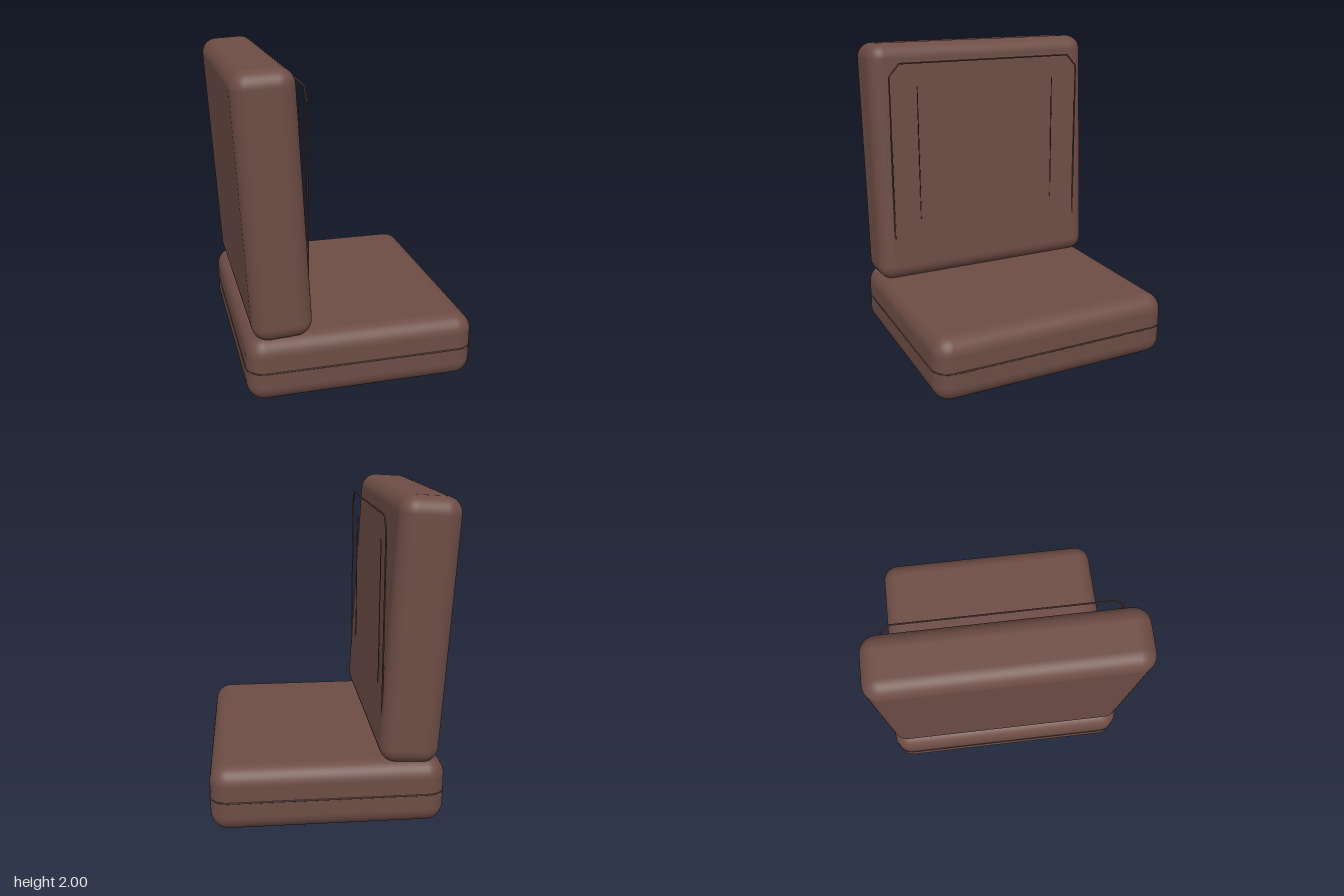
import * as THREE from 'three';
import { RoundedBoxGeometry } from 'three/addons/geometries/RoundedBoxGeometry.js';

const leather = new THREE.MeshStandardMaterial({ color: 0x6d4c45 });
leather.name = 'brown leather';
const pipingBrown = new THREE.MeshStandardMaterial({ color: 0x5d4039 });
pipingBrown.name = 'piping brown';

function cushion(name, w, h, d, r) {
  const mesh = new THREE.Mesh(new RoundedBoxGeometry(w, h, d, 6, r), leather);
  mesh.name = name;
  return mesh;
}

// A thin cord made of straight runs through the points
function cord(name, points, radius) {
  const group = new THREE.Group();
  group.name = name;
  const up = new THREE.Vector3(0, 1, 0);
  for (let i = 0; i < points.length - 1; i++) {
    const a = new THREE.Vector3(...points[i]);
    const b = new THREE.Vector3(...points[i + 1]);
    const dir = b.clone().sub(a);
    const run = new THREE.Mesh(new THREE.CylinderGeometry(radius, radius, dir.length(), 8), pipingBrown);
    run.name = name + 'Run';
    run.position.copy(a).add(b).multiplyScalar(0.5);
    run.quaternion.setFromUnitVectors(up, dir.normalize());
    group.add(run);
  }
  return group;
}

export function createModel() {
  const model = new THREE.Group();
  model.name = 'cushionSeat';

  // Seat cushion
  const seat = cushion('seatCushion', 1.43, 0.415, 1.6, 0.11);
  seat.position.set(0.015, 0.2075, 0);
  model.add(seat);

  // Backrest, leaning slightly away from the seat
  const back = cushion('backCushion', 0.365, 1.605, 1.59, 0.1);
  back.position.set(-0.516, 1.195, 0);
  back.rotation.z = 0.055;
  model.add(back);

  // Piping around the middle of the seat, following its rounded corners
  const loop = [];
  const r = 0.11;
  const corners = [[1, 1], [-1, 1], [-1, -1], [1, -1]];
  corners.forEach(([sx, sz], c) => {
    for (let i = 0; i <= 4; i++) {
      const a = (c + i / 4) * Math.PI / 2;
      loop.push([
        0.015 + sx * (0.715 - r) + r * Math.cos(a),
        0.206,
        sz * (0.8 - r) + r * Math.sin(a),
      ]);
    }
  });
  loop.push(loop[0]);
  model.add(cord('seatPiping', loop, 0.005));

  // Upright piping arch in front of the backrest
  const x = -0.31;
  model.add(cord('backPiping', [
    [x, 0.5, 0.69], [x, 1.8, 0.69], [x, 1.88, 0.62],
    [x, 1.88, -0.62], [x, 1.8, -0.69], [x, 0.5, -0.69],
  ], 0.005));

  // Two inner seams on the backrest
  for (const side of [1, -1]) {
    model.add(cord('backSeam', [[-0.315, 0.6, side * 0.5], [-0.315, 1.725, side * 0.5]], 0.003));
  }

  return model;
}
